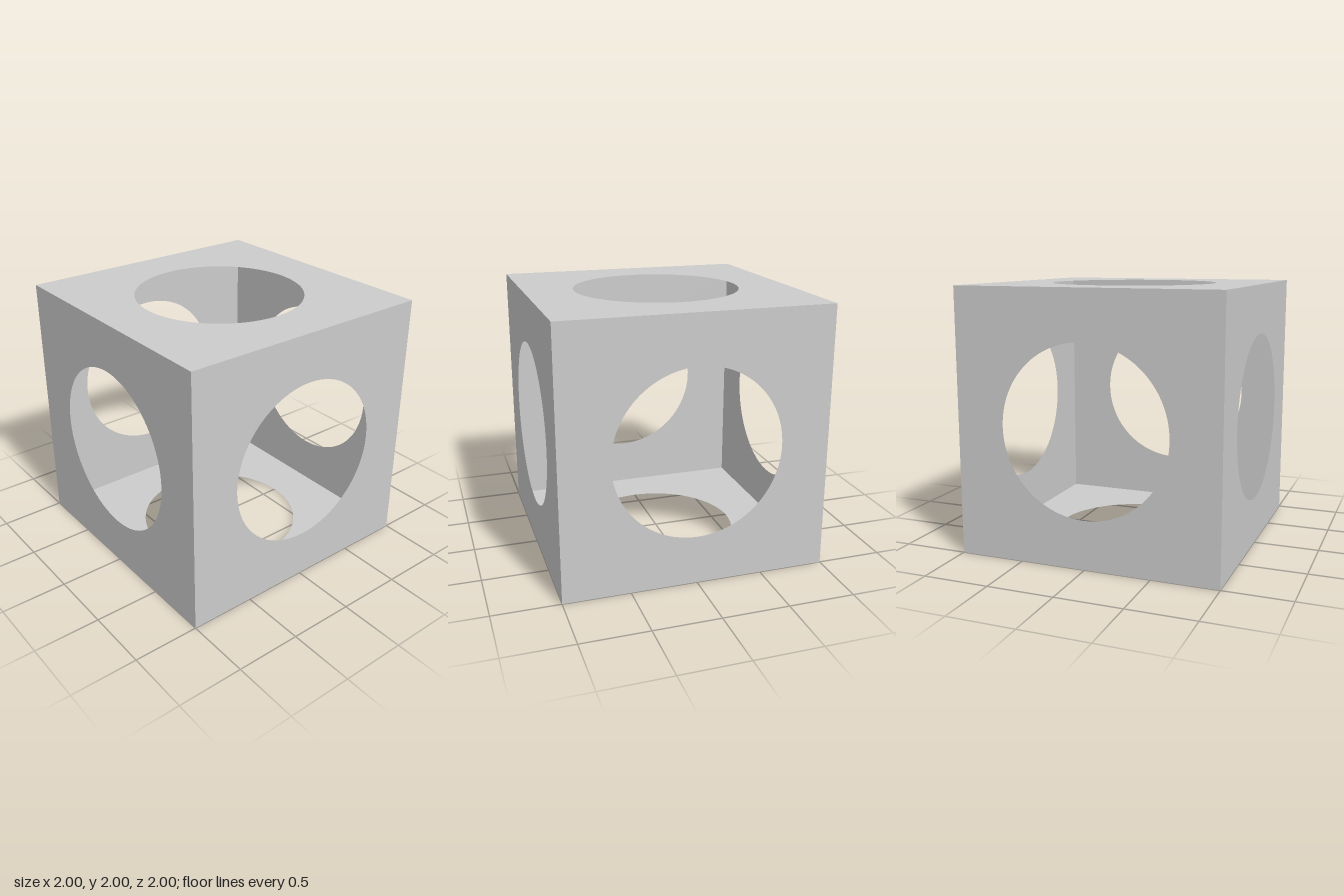
import * as THREE from 'three';

const HALF = 1;        // half the cube's edge
const RADIUS = 0.632;  // radius of the round opening in every wall

// Square sheet with a round opening in the middle
function wallGeometry() {
  const shape = new THREE.Shape([
    new THREE.Vector2(-HALF, -HALF),
    new THREE.Vector2(HALF, -HALF),
    new THREE.Vector2(HALF, HALF),
    new THREE.Vector2(-HALF, HALF),
  ]);
  const hole = new THREE.Path();
  hole.absarc(0, 0, RADIUS, 0, Math.PI * 2, true);
  shape.holes.push(hole);
  return new THREE.ShapeGeometry(shape, 96);
}

export function createModel() {
  const model = new THREE.Group();
  model.name = 'hollowCube';
  const material = new THREE.MeshStandardMaterial({ color: 0xcccccc, side: THREE.DoubleSide });
  const geometry = wallGeometry();
  const q = Math.PI / 2;

  // Six thin walls, each turned outward and pushed out from the centre
  const walls = [
    ['frontWall', 0, 0],
    ['leftWall', 0, q],
    ['backWall', 0, 2 * q],
    ['rightWall', 0, -q],
    ['topWall', -q, 0],
    ['bottomWall', q, 0],
  ];
  for (const [name, rx, ry] of walls) {
    const wall = new THREE.Mesh(geometry, material);
    wall.name = name;
    wall.rotation.set(rx, ry, 0);
    wall.position.y = HALF;
    wall.translateZ(HALF);
    model.add(wall);
  }
  return model;
}
